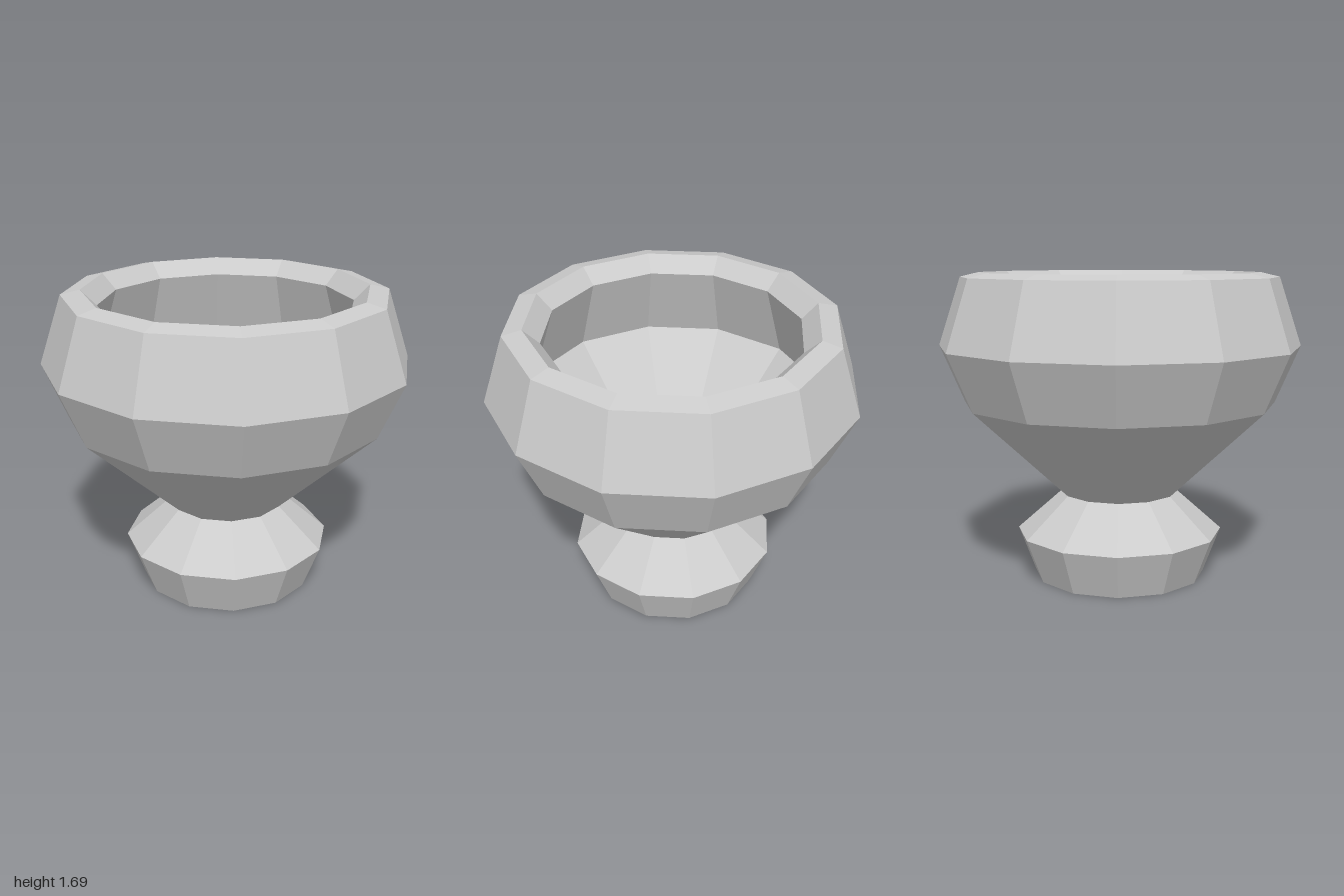
import * as THREE from 'three';

const SIDES = 12;

// Faceted solid of revolution from [radius, height] pairs, outside running upwards
function turned(name, profile, material) {
  const points = profile.map(([r, y]) => new THREE.Vector2(r, y));
  const mesh = new THREE.Mesh(new THREE.LatheGeometry(points, SIDES), material);
  mesh.name = name;
  return mesh;
}

export function createModel() {
  const model = new THREE.Group();
  model.name = 'footedBowl';
  const material = new THREE.MeshStandardMaterial({ color: 0xcccccc, flatShading: true });

  // Flared foot with a closed underside, tapering to the neck
  model.add(turned('foot', [
    [0, 0], [0.48, 0], [0.575, 0.25], [0.325, 0.47],
  ], material));

  // Bowl: outer wall, bevelled rim, undercut inner wall, flat floor
  model.add(turned('bowl', [
    [0.325, 0.47], [0.865, 0.975], [1, 1.29], [0.875, 1.665],
    [0.77, 1.69], [0.685, 1.605], [0.82, 1.19], [0.435, 0.79], [0, 0.79],
  ], material));

  return model;
}
